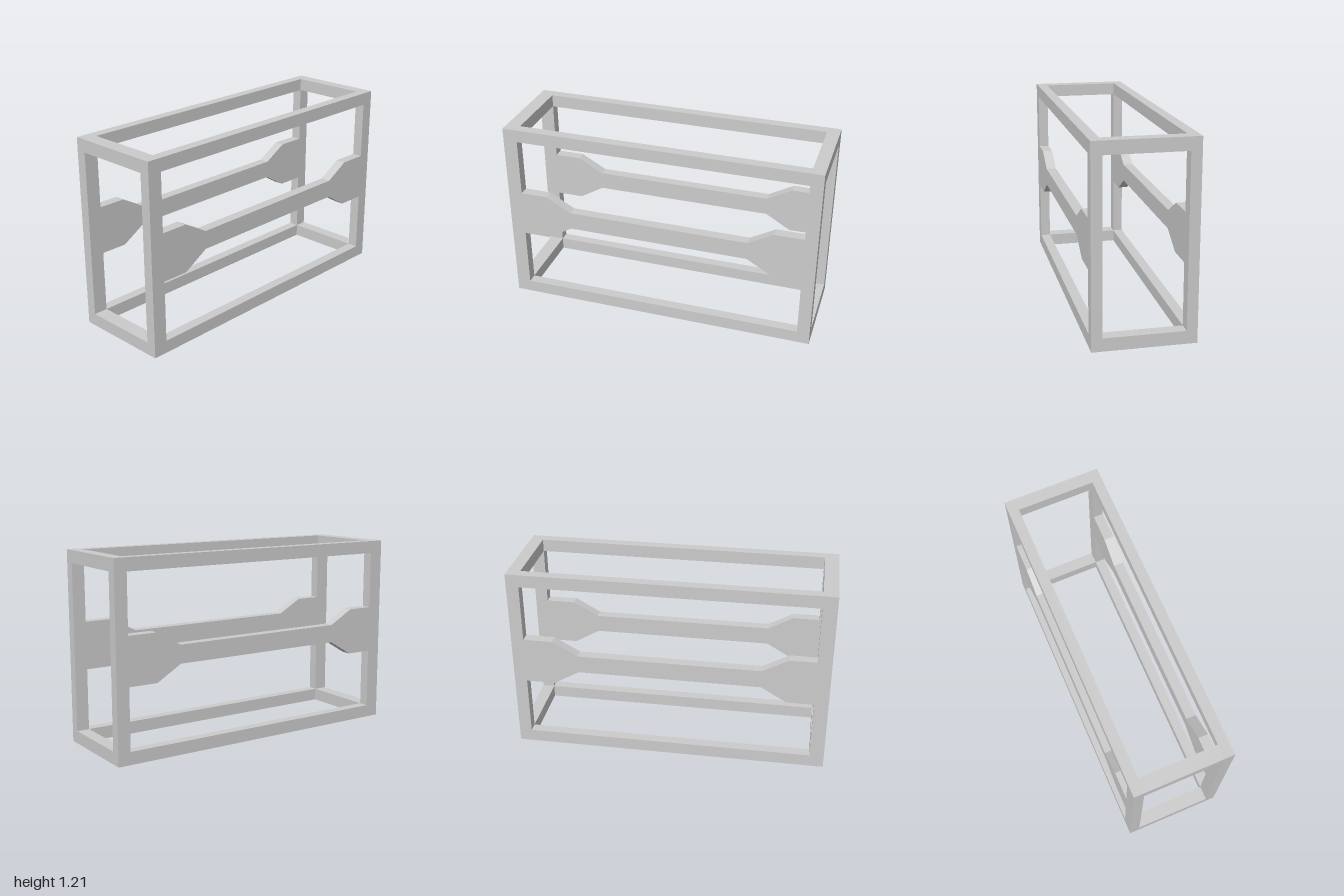
import * as THREE from 'three';

const W = 0.31, H = 1.21;          // half width, height
const T = 0.065, RAIL = 0.08;      // side thickness, rail height
const Z_FRONT = 0.91, Z_BACK = -0.92; // inner faces of the end posts

const material = new THREE.MeshStandardMaterial({ color: 0xcccccc, flatShading: true });

const toPath = (points) => new THREE.Path(points.map(([z, y]) => new THREE.Vector2(z, y)));

// Window between a rail and the middle brace, which flares towards the posts
function windowHole(railY, flareY, waistY) {
  return toPath([
    [Z_BACK, railY], [Z_FRONT, railY], [Z_FRONT, flareY], [0.74, flareY],
    [0.58, waistY], [-0.575, waistY], [-0.735, flareY], [Z_BACK, flareY],
  ]);
}

// Side frame with its brace, drawn in the z-y plane
function sideGeometry() {
  const shape = new THREE.Shape([[-1, 0], [1, 0], [1, H], [-1, H]].map(([z, y]) => new THREE.Vector2(z, y)));
  shape.holes.push(windowHole(RAIL, 0.465, 0.56), windowHole(H - RAIL, 0.765, 0.675));
  return new THREE.ExtrudeGeometry(shape, { depth: T, bevelEnabled: false }).rotateY(-Math.PI / 2);
}

export function createModel() {
  const group = new THREE.Group();
  group.name = 'openFrame';

  // Left and right sides
  const side = sideGeometry();
  for (const [name, x] of [['leftSideFrame', W], ['rightSideFrame', -W + T]]) {
    const mesh = new THREE.Mesh(side, material);
    mesh.name = name;
    mesh.position.x = x;
    group.add(mesh);
  }

  // Cross rails joining the sides at front and back, top and bottom
  for (const [end, z0, z1] of [['front', Z_FRONT, 1], ['back', -1, Z_BACK]]) {
    for (const [level, y] of [['Bottom', RAIL / 2], ['Top', H - RAIL / 2]]) {
      const rail = new THREE.Mesh(new THREE.BoxGeometry(2 * (W - T), RAIL, z1 - z0), material);
      rail.name = `${end}${level}Rail`;
      rail.position.set(0, y, (z0 + z1) / 2);
      group.add(rail);
    }
  }
  return group;
}
